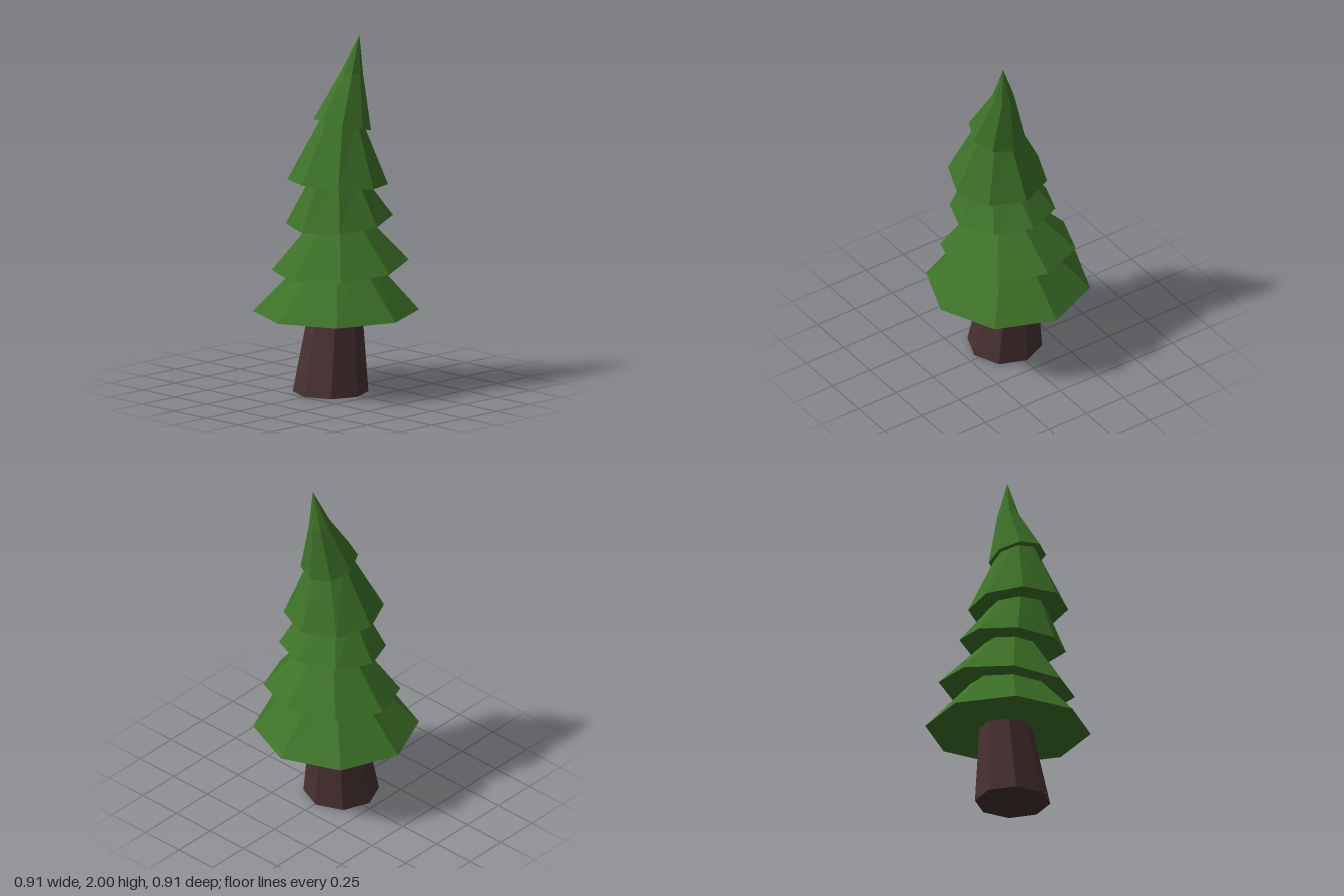
import * as THREE from 'three';

const SIDES = 8;

// Octagonal ring: centre x, y, z, radius, and rise from its -x side to its +x side
function ringPoints([x, y, z, r, rise = 0]) {
  return Array.from({ length: SIDES }, (_, i) => {
    const a = (i / SIDES) * Math.PI * 2 - 0.015;
    const c = Math.cos(a);
    return new THREE.Vector3(x + r * c, y + (rise / 2) * c, z + r * Math.sin(a));
  });
}

// Closed faceted solid through a stack of rings, from bottom to top
function loft(name, rings, material) {
  const loops = rings.map(ringPoints);
  const pos = [];
  const tri = (...pts) => pts.forEach((p) => pos.push(p.x, p.y, p.z));
  const centre = ([x, y, z]) => new THREE.Vector3(x, y, z);
  const last = rings.length - 1;
  const bottom = centre(rings[0]);
  const top = centre(rings[last]);

  for (let i = 0; i < SIDES; i++) {
    const j = (i + 1) % SIDES;
    tri(bottom, loops[0][i], loops[0][j]);
    for (let k = 0; k < last; k++) {
      const lo = loops[k], hi = loops[k + 1];
      tri(lo[i], hi[i], lo[j]);
      if (rings[k + 1][3] > 0) tri(lo[j], hi[i], hi[j]);
    }
    if (rings[last][3] > 0) tri(top, loops[last][j], loops[last][i]);
  }

  const geometry = new THREE.BufferGeometry();
  geometry.setAttribute('position', new THREE.Float32BufferAttribute(pos, 3));
  geometry.computeVertexNormals();
  const mesh = new THREE.Mesh(geometry, material);
  mesh.name = name;
  return mesh;
}

export function createModel() {
  const bark = new THREE.MeshStandardMaterial({ color: 0x483131 });
  bark.name = 'bark brown';
  const needles = new THREE.MeshStandardMaterial({ color: 0x3d7228 });
  needles.name = 'needle green';

  const tree = new THREE.Group();
  tree.name = 'pineTree';

  // Leaning, tapered trunk
  tree.add(loft('trunk', [[-0.037, 0, -0.005, 0.208], [0.012, 0.52, -0.011, 0.138]], bark));

  // Overlapping foliage tiers, each tilted its own way; the last ends in a bent tip
  const tiers = [
    [[0, 0.45, 0, 0.456, 0.01], [0, 0.76, 0.01, 0.168, 0.03]],
    [[0.02, 0.705, 0.013, 0.376, 0.08], [-0.004, 0.985, 0.033, 0.135, 0.03]],
    [[-0.006, 0.968, 0.032, 0.294, 0.065], [-0.029, 1.205, 0.05, 0.152, -0.03]],
    [[-0.033, 1.185, 0.047, 0.276, -0.04], [-0.007, 1.535, 0.061, 0.112, -0.07]],
    [[-0.014, 1.505, 0.063, 0.158, -0.09], [0.057, 1.785, 0.068, 0.061, -0.025], [0.086, 2, 0.095, 0]],
  ];
  tiers.forEach((rings, i) => tree.add(loft(`foliageTier${i + 1}`, rings, needles)));

  return tree;
}
